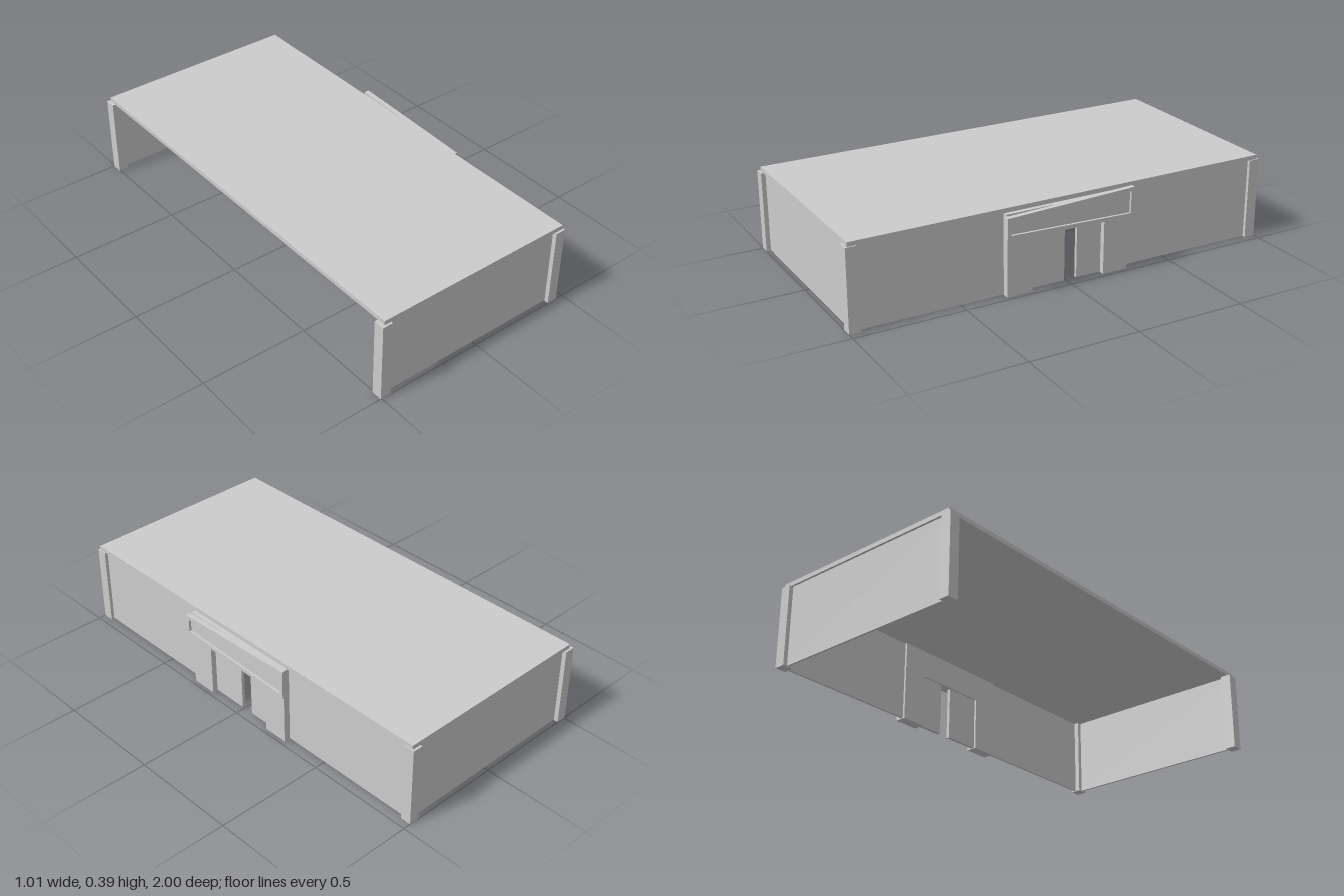
import * as THREE from 'three';

const material = new THREE.MeshStandardMaterial({ color: 0xcccccc, flatShading: true });

// Box given by its lower and upper limits on each axis
function box(name, [x0, x1], [y0, y1], [z0, z1]) {
  const mesh = new THREE.Mesh(new THREE.BoxGeometry(x1 - x0, y1 - y0, z1 - z0), material);
  mesh.name = name;
  mesh.position.set((x0 + x1) / 2, (y0 + y1) / 2, (z0 + z1) / 2);
  return mesh;
}

const toPoints = (list) => list.map(([u, v]) => new THREE.Vector2(u, v));

// Outline drawn in (-z, y), extruded along +x from x0 to x1
function slab(name, outline, hole, x0, x1) {
  const shape = new THREE.Shape(toPoints(outline));
  if (hole) shape.holes.push(new THREE.Path(toPoints(hole)));
  const geometry = new THREE.ExtrudeGeometry(shape, { depth: x1 - x0, bevelEnabled: false });
  geometry.rotateY(Math.PI / 2).translate(x0, 0, 0);
  const mesh = new THREE.Mesh(geometry, material);
  mesh.name = name;
  return mesh;
}

export function createModel() {
  const model = new THREE.Group();
  model.name = 'building';
  const wallTop = 0.37;

  model.add(box('roof', [-0.49, 0.46], [wallTop, 0.39], [-0.99, 0.99]));

  // End walls and corner posts; the -x side stays open
  for (const s of [-1, 1]) {
    const span = (a, b) => (s > 0 ? [a, b] : [-b, -a]);
    model.add(box('endWall', [-0.48, 0.44], [0.003, wallTop], span(0.97, 0.98)));
    model.add(box('cornerPost', [-0.505, -0.457], [0, wallTop], span(0.95, 1)));
    model.add(box('cornerPost', [0.417, 0.465], [0, wallTop], span(0.95, 1)));
  }

  // Entrance wall with a doorway notch
  const doorway = [[0.17, 0.003], [0.17, 0.245], [-0.18, 0.245], [-0.18, 0.003]];
  model.add(slab('entranceWall',
    [[-0.97, 0.003], [-0.97, wallTop], [0.97, wallTop], [0.97, 0.003], ...doorway], null, 0.44, 0.45));

  // Projecting door surround
  model.add(slab('doorSurround',
    [[-0.3, 0], [-0.3, wallTop], [0.29, wallTop], [0.29, 0],
      [0.17, 0], [0.17, 0.245], [-0.18, 0.245], [-0.18, 0]], null, 0.43, 0.48));

  // Sliding doors, slightly open
  model.add(box('door', [0.44, 0.455], [0.002, 0.245], [0.01, 0.18]));
  model.add(box('door', [0.44, 0.455], [0.002, 0.245], [-0.17, -0.05]));

  // Tapered sign board: raised rim around a recessed panel
  const outer = [[-0.31, 0.268], [0.305, 0.248], [0.305, 0.383], [-0.31, 0.361]];
  const inner = [[-0.293, 0.284], [0.288, 0.266], [0.288, 0.365], [-0.293, 0.345]];
  model.add(slab('signRim', outer, inner, 0.48, 0.503));
  model.add(slab('signPanel', inner, null, 0.48, 0.492));

  return model;
}
